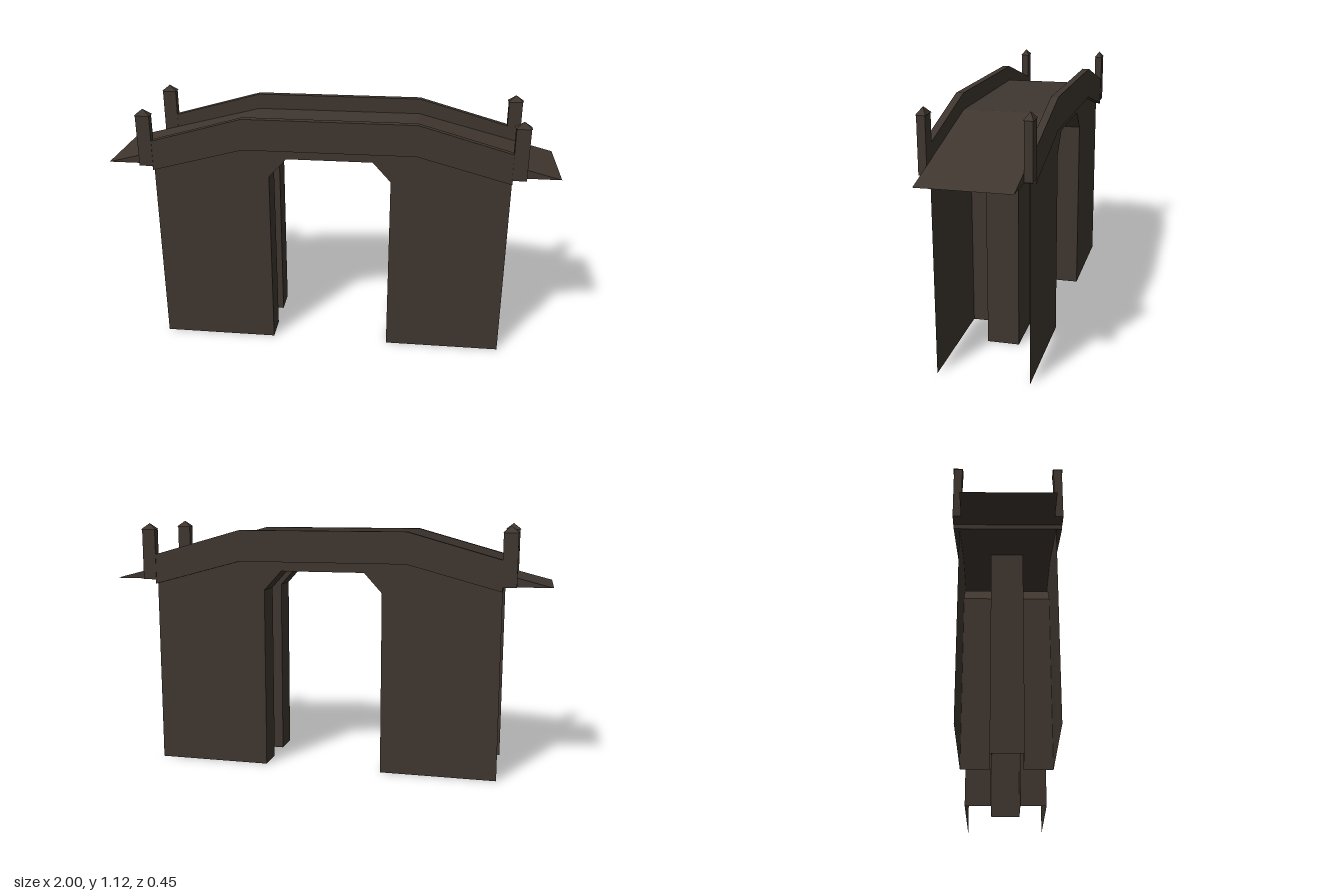
import * as THREE from 'three';

const stone = new THREE.MeshStandardMaterial({ color: 0x3f362f, side: THREE.DoubleSide });
stone.name = 'dark stone';

// Mirror a right-hand outline (listed from +x foot to the crown) to the -x side
const mirrored = (pts) => [...pts, ...pts.slice().reverse().map(([x, y]) => [-x, y])];
const toShape = (pts) => new THREE.Shape(pts.map(([x, y]) => new THREE.Vector2(x, y)));

function add(parent, name, geometry, x = 0, y = 0, z = 0) {
  const mesh = new THREE.Mesh(geometry, stone);
  mesh.name = name;
  mesh.position.set(x, y, z);
  parent.add(mesh);
  return mesh;
}

// Solid slab: outline in the xy plane, running from z0 to z1
function slab(parent, name, pts, z0, z1) {
  const geo = new THREE.ExtrudeGeometry(toShape(pts), { depth: z1 - z0, bevelEnabled: false });
  return add(parent, name, geo, 0, 0, z0);
}

// Open strip: a path in the xy plane swept from z0 to z1, flat faces
function strip(parent, name, path, z0, z1) {
  const pos = [];
  for (let i = 0; i < path.length - 1; i++) {
    const [ax, ay] = path[i], [bx, by] = path[i + 1];
    pos.push(ax, ay, z0, bx, by, z0, bx, by, z1, ax, ay, z0, bx, by, z1, ax, ay, z1);
  }
  const geo = new THREE.BufferGeometry();
  geo.setAttribute('position', new THREE.Float32BufferAttribute(pos, 3));
  geo.computeVertexNormals();
  return add(parent, name, geo);
}

export function createModel() {
  const bridge = new THREE.Group();
  bridge.name = 'bridge';

  const wallZ = 0.195, ribZ = 0.07, deckZ = 0.187, railZ = 0.218;
  const arch = mirrored([[0.27, 0], [0.27, 0.82], [0.19, 0.908]]);
  const underside = mirrored([[0.79, 0.84], [0.38, 0.95]]);
  const recess = mirrored([[0.47, 0], [0.47, 0.926], [0.38, 0.95]]);
  const outerWall = mirrored([[0.79, 0], [0.79, 0.84], [0.38, 0.95]]);

  // Road deck with sloping ramps and wedge-shaped ends
  slab(bridge, 'deck', [
    ...mirrored([[0.79, 0.86], [1, 0.86], [0.38, 1.02]]),
    [-0.79, 0.84], [-0.38, 0.95], [0.38, 0.95], [0.79, 0.84],
  ], -deckZ, deckZ);

  for (const s of [1, -1]) {
    const side = new THREE.Group();
    side.name = s > 0 ? 'frontSide' : 'backSide';
    bridge.add(side);

    // Thin outer wall with the arch opening
    add(side, 'wall', new THREE.ShapeGeometry(toShape([...outerWall, ...arch.slice().reverse()])), 0, 0, s * wallZ);

    // Arch reveal and the inner face of the rib
    strip(side, 'archReveal', arch, s * ribZ, s * wallZ);
    add(side, 'ribFace', new THREE.ShapeGeometry(toShape([...recess, ...arch.slice().reverse()])), 0, 0, s * ribZ);

    // Parapet following the deck, and the ledge below it
    const rail = [...mirrored([[0.79, 0.975], [0.38, 1.09]]), ...underside.slice().reverse()];
    slab(side, 'parapet', rail, s > 0 ? deckZ : -railZ, s > 0 ? railZ : -deckZ);

    // End posts with pyramid caps
    for (const e of [1, -1]) {
      const post = new THREE.Group();
      post.name = 'post';
      post.position.set(e * 0.818, 0, s * 0.203);
      side.add(post);
      add(post, 'postShaft', new THREE.BoxGeometry(0.062, 0.23, 0.034), 0, 0.975, 0);
      const cap = new THREE.ConeGeometry(Math.SQRT1_2, 1, 4, 1).rotateY(Math.PI / 4).toNonIndexed();
      cap.scale(0.07, 0.028, 0.04);
      cap.computeVertexNormals();
      add(post, 'postCap', cap, 0, 1.104, 0);
    }
  }

  // Recessed webs between the two ribs
  for (const e of [1, -1]) {
    strip(bridge, 'pierWeb', [[e * 0.47, 0], [e * 0.47, 0.926]], -ribZ, ribZ);
  }
  return bridge;
}
